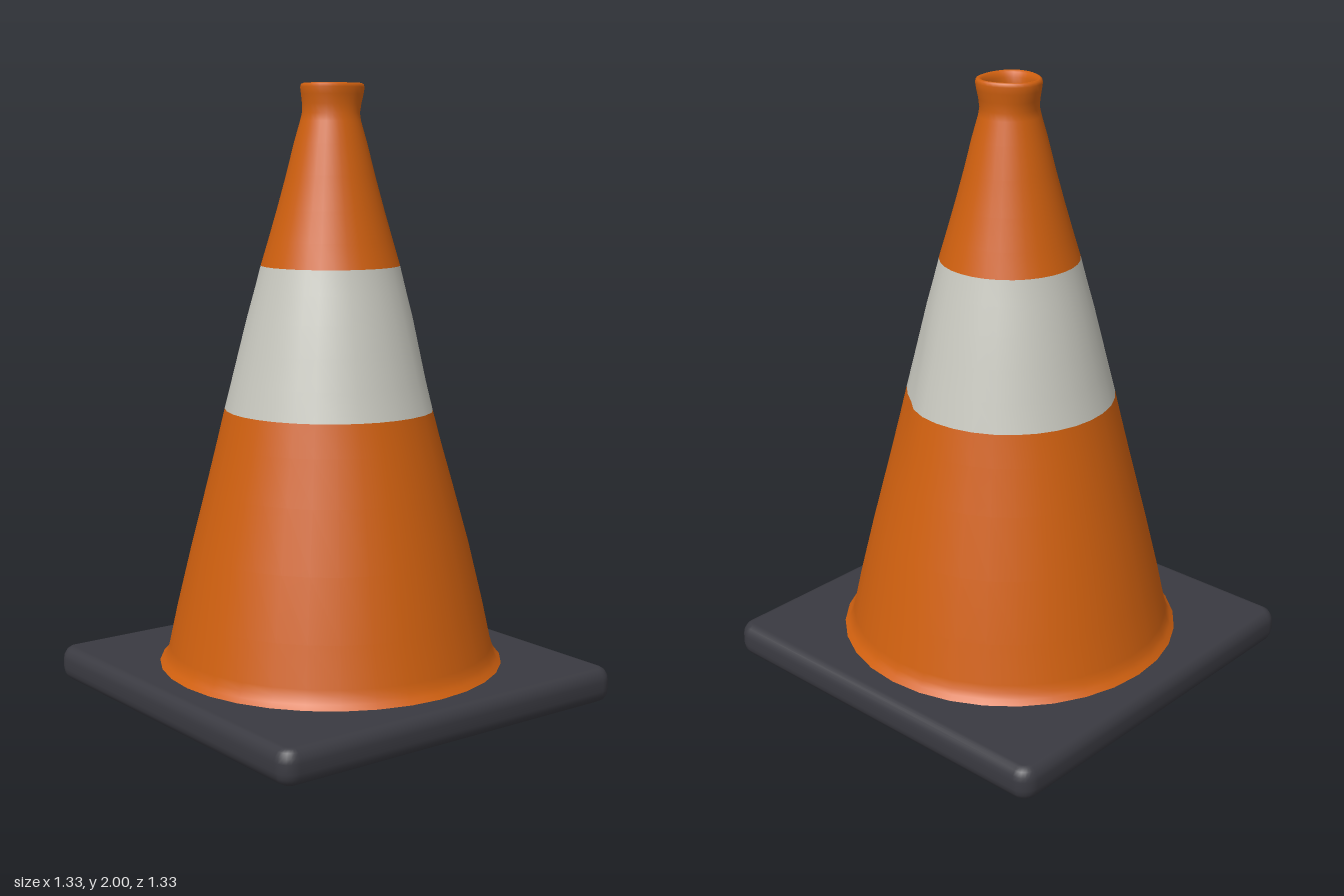
import * as THREE from 'three';
import { mergeVertices } from 'three/addons/utils/BufferGeometryUtils.js';

const mat = (name, color) => {
  const m = new THREE.MeshStandardMaterial({ color, side: THREE.DoubleSide });
  m.name = name;
  return m;
};

// Slight wear: a shallow dent in the band and a three-sided squeeze of the lip
function deform(geo) {
  const p = geo.attributes.position;
  for (let i = 0; i < p.count; i++) {
    const x = p.getX(i), y = p.getY(i), z = p.getZ(i);
    const a = Math.atan2(z, x);
    const dent = 0.018 * Math.exp(-(((a + 0.93) / 0.22) ** 2) - ((y - 0.98) / 0.25) ** 2);
    const lip = THREE.MathUtils.smoothstep(y, 1.88, 1.97);
    const r = Math.hypot(x, z);
    const k = 1 - dent / r - 0.05 * lip * Math.cos(3 * a);
    p.setXYZ(i, x * k - 0.005 * lip, y, z * k - 0.005 * lip);
  }
}

// One lathed, smooth section of the cone
function coneSection(name, profile, material) {
  let geo = new THREE.LatheGeometry(profile.map(([r, y]) => new THREE.Vector2(r, y)), 32);
  geo.deleteAttribute('uv');
  geo.deleteAttribute('normal');
  geo = mergeVertices(geo, 1e-5);
  deform(geo);
  geo.computeVertexNormals();
  const mesh = new THREE.Mesh(geo, material);
  mesh.name = name;
  return mesh;
}

// Hollow square base: rounded-square rings stacked upward, closed on top, open below
function baseGeometry() {
  const half = 0.665, corner = 0.055, steps = 6;
  const rings = [[0.03, 0], [0.012, 0.01], [0.003, 0.025], [0, 0.042], [0, 0.072],
    [0.003, 0.088], [0.012, 0.103], [0.024, 0.111], [0.035, 0.113]];
  const pos = [], idx = [], n = 4 * (steps + 1);
  for (const [inset, y] of rings) {
    for (let q = 0; q < 4; q++) {
      for (let s = 0; s <= steps; s++) {
        const a = (q + s / steps) * Math.PI / 2;
        const sx = q === 0 || q === 3 ? 1 : -1, sz = q < 2 ? 1 : -1;
        const c = half - corner, r = corner - inset;
        pos.push(sx * c + r * Math.cos(a), y, sz * c + r * Math.sin(a));
      }
    }
  }
  const centre = pos.length / 3;
  pos.push(0, 0.113, 0);
  for (let i = 0; i < rings.length; i++) {
    for (let j = 0; j < n; j++) {
      const a = i * n + j, b = i * n + (j + 1) % n;
      if (i === rings.length - 1) idx.push(a, centre, b);
      else idx.push(a, a + n, b, b, a + n, b + n);
    }
  }
  const geo = new THREE.BufferGeometry();
  geo.setAttribute('position', new THREE.Float32BufferAttribute(pos, 3));
  geo.setIndex(idx);
  geo.computeVertexNormals();
  return geo;
}

export function createModel() {
  const orange = mat('orange plastic', 0xd0600f);
  const white = mat('reflective white', 0xc8c8bf);
  const dark = mat('dark rubber', 0x3a3a41);

  const group = new THREE.Group();
  group.name = 'trafficCone';

  const base = new THREE.Mesh(baseGeometry(), dark);
  base.name = 'base';
  group.add(base);

  // Flared foot and lower body
  group.add(coneSection('lowerCone', [[0.567, 0.113], [0.553, 0.128], [0.543, 0.145], [0.535, 0.17],
    [0.507, 0.3], [0.459, 0.5], [0.408, 0.7], [0.371, 0.85], [0.346, 0.955]], orange));

  // Reflective collar
  group.add(coneSection('whiteBand', [[0.346, 0.955], [0.322, 1.05], [0.297, 1.15],
    [0.272, 1.25], [0.247, 1.34], [0.226, 1.42]], white));

  // Upper body, neck and rolled lip running down inside the opening
  group.add(coneSection('upperCone', [[0.226, 1.42], [0.202, 1.5], [0.173, 1.6], [0.143, 1.71],
    [0.118, 1.81], [0.098, 1.88], [0.093, 1.905], [0.095, 1.935], [0.1, 1.965], [0.103, 1.987],
    [0.1, 1.997], [0.093, 2], [0.083, 1.995], [0.076, 1.98], [0.072, 1.95], [0.074, 1.91]], orange));

  return group;
}
